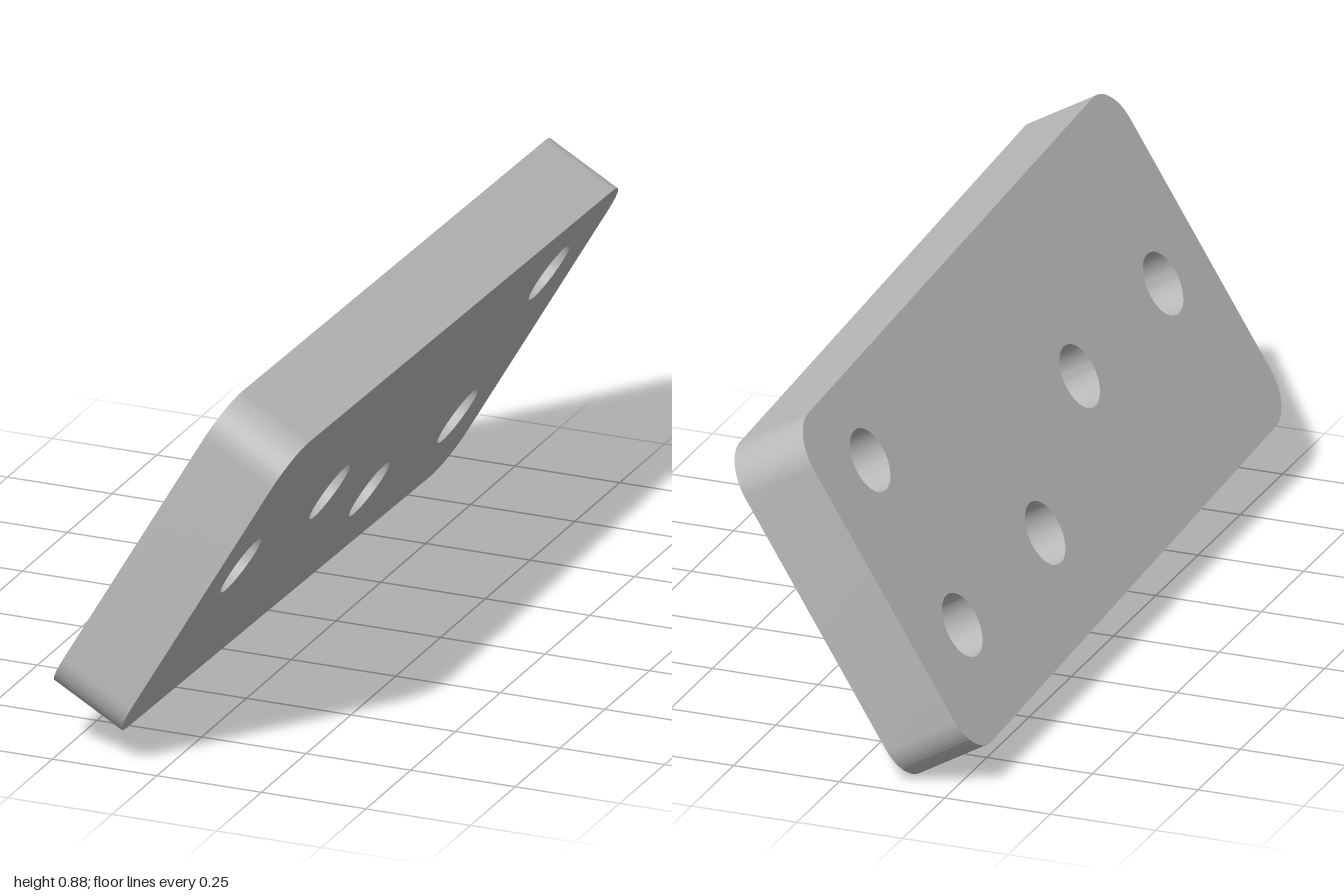
import * as THREE from 'three';
import { toCreasedNormals } from 'three/addons/utils/BufferGeometryUtils.js';

const LENGTH = 1.975, WIDTH = 0.843, THICKNESS = 0.187, CORNER = 0.1, HOLE = 0.075;
const HOLES = [[0.758, 0.003], [0.238, 0.003], [-0.233, -0.185], [-0.75, -0.185], [-0.75, 0.238]];

// Rounded rectangle pierced by the bolt holes
function plateShape() {
  const a = LENGTH / 2 - CORNER, b = WIDTH / 2 - CORNER;
  const shape = new THREE.Shape();
  [[a, b], [-a, b], [-a, -b], [a, -b]].forEach(([x, y], i) =>
    shape.absarc(x, y, CORNER, i * Math.PI / 2, (i + 1) * Math.PI / 2, false));
  shape.closePath();
  for (const [x, y] of HOLES) {
    shape.holes.push(new THREE.Path().absarc(x, y, HOLE, 0, Math.PI * 2, true));
  }
  return shape;
}

export function createModel() {
  const steel = new THREE.MeshStandardMaterial({ color: 0xbababa });
  steel.name = 'plain grey';

  const geometry = new THREE.ExtrudeGeometry(plateShape(), {
    depth: THICKNESS, bevelEnabled: false, curveSegments: 24,
  });
  geometry.translate(0, 0, -THICKNESS / 2);

  const plate = new THREE.Mesh(toCreasedNormals(geometry, Math.PI / 6), steel);
  plate.name = 'drilledPlate';
  plate.rotation.z = THREE.MathUtils.degToRad(2.3); // slight turn within its own plane

  // Lean the plate 60 degrees from the ground, its length running along z
  const lean = new THREE.Group();
  lean.name = 'leaningPlate';
  const c = Math.cos(Math.PI / 3), s = Math.sin(Math.PI / 3);
  lean.quaternion.setFromRotationMatrix(new THREE.Matrix4().makeBasis(
    new THREE.Vector3(0, 0, 1), new THREE.Vector3(c, s, 0), new THREE.Vector3(-s, c, 0)));
  lean.position.y = 0.443;
  lean.add(plate);

  const model = new THREE.Group();
  model.name = 'mountingPlate';
  model.add(lean);
  return model;
}
